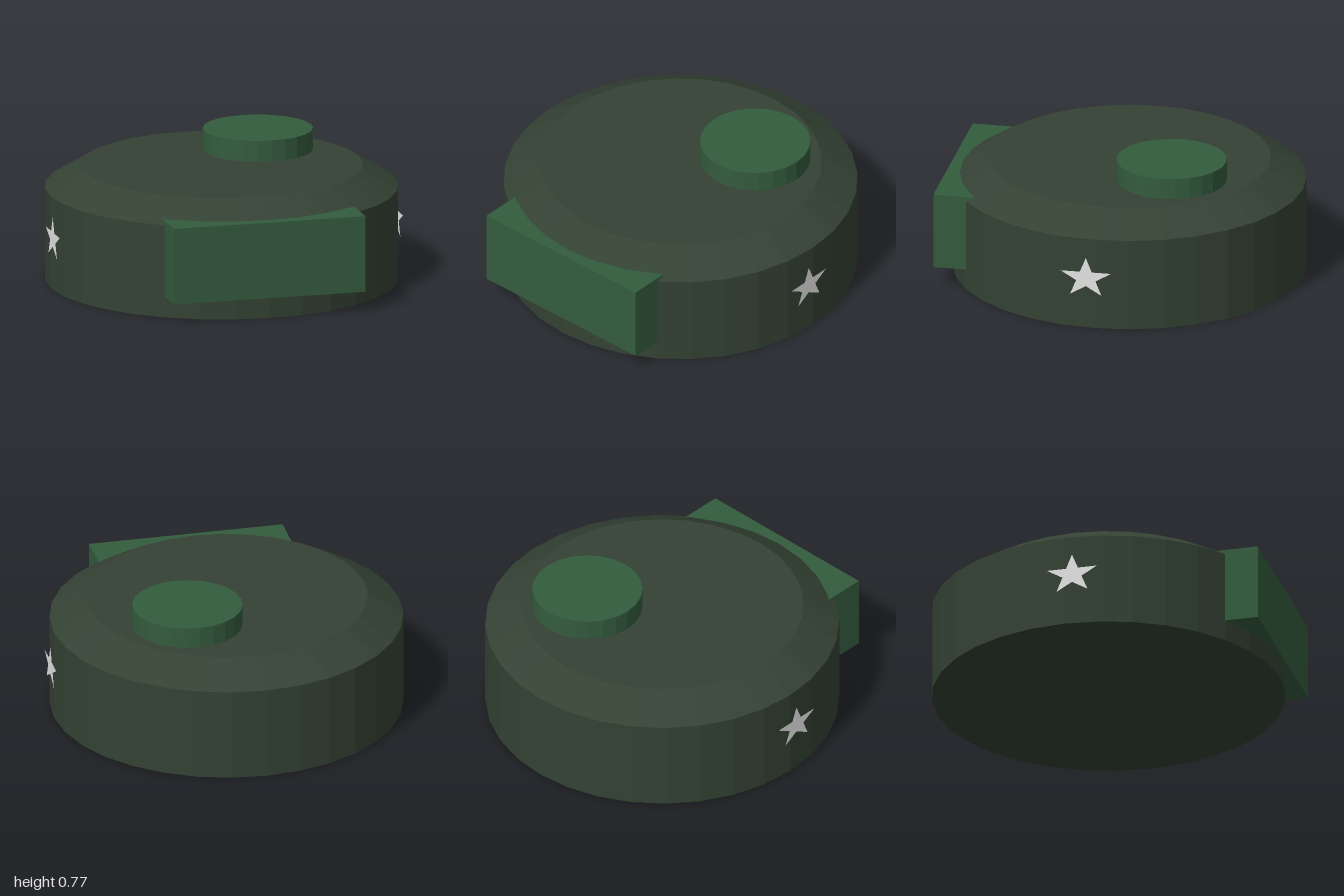
import * as THREE from 'three';

export function createModel() {
  const model = new THREE.Group();
  model.name = 'turret';

  const mat = (name, color) => {
    const m = new THREE.MeshStandardMaterial({ color });
    m.name = name;
    return m;
  };
  const darkGreen = mat('dark green', 0x344234);
  const green = mat('mid green', 0x345c3e);
  const white = mat('off white', 0xe6e6e6);
  darkGreen.flatShading = green.flatShading = true;
  white.side = THREE.DoubleSide;

  const add = (name, geometry, material, x, y, z) => {
    const mesh = new THREE.Mesh(geometry, material);
    mesh.name = name;
    mesh.position.set(x, y, z);
    model.add(mesh);
    return mesh;
  };

  // Round body with a bevelled shoulder, closed top and bottom
  const profile = [[0, 0], [0.99, 0], [0.99, 0.53], [0.79, 0.65], [0, 0.65]]
    .map(([r, y]) => new THREE.Vector2(r, y));
  add('body', new THREE.LatheGeometry(profile, 32), darkGreen, -0.003, 0, -0.008);

  // Gun mantlet at the front, its back buried in the body
  add('mantlet', new THREE.BoxGeometry(1.11, 0.435, 0.4), green, -0.004, 0.337, 0.8);

  // Commander's hatch on the roof
  add('hatch', new THREE.CylinderGeometry(0.309, 0.309, 0.13, 24), green, 0.29, 0.705, -0.307);

  // Five-pointed star plate on each side, slightly wider than tall
  const star = new THREE.Shape(Array.from({ length: 10 }, (_, i) => {
    const a = i * Math.PI / 5, r = i % 2 ? 0.382 : 1;
    return new THREE.Vector2(-Math.sin(a) * r * 0.152, Math.cos(a) * r * 0.122);
  }));
  const starGeometry = new THREE.ShapeGeometry(star);
  for (const side of [1, -1]) {
    const plate = add(side > 0 ? 'leftStar' : 'rightStar', starGeometry, white, side * 0.996, 0.298, 0.04);
    plate.rotation.y = side * Math.PI / 2;
  }

  return model;
}
